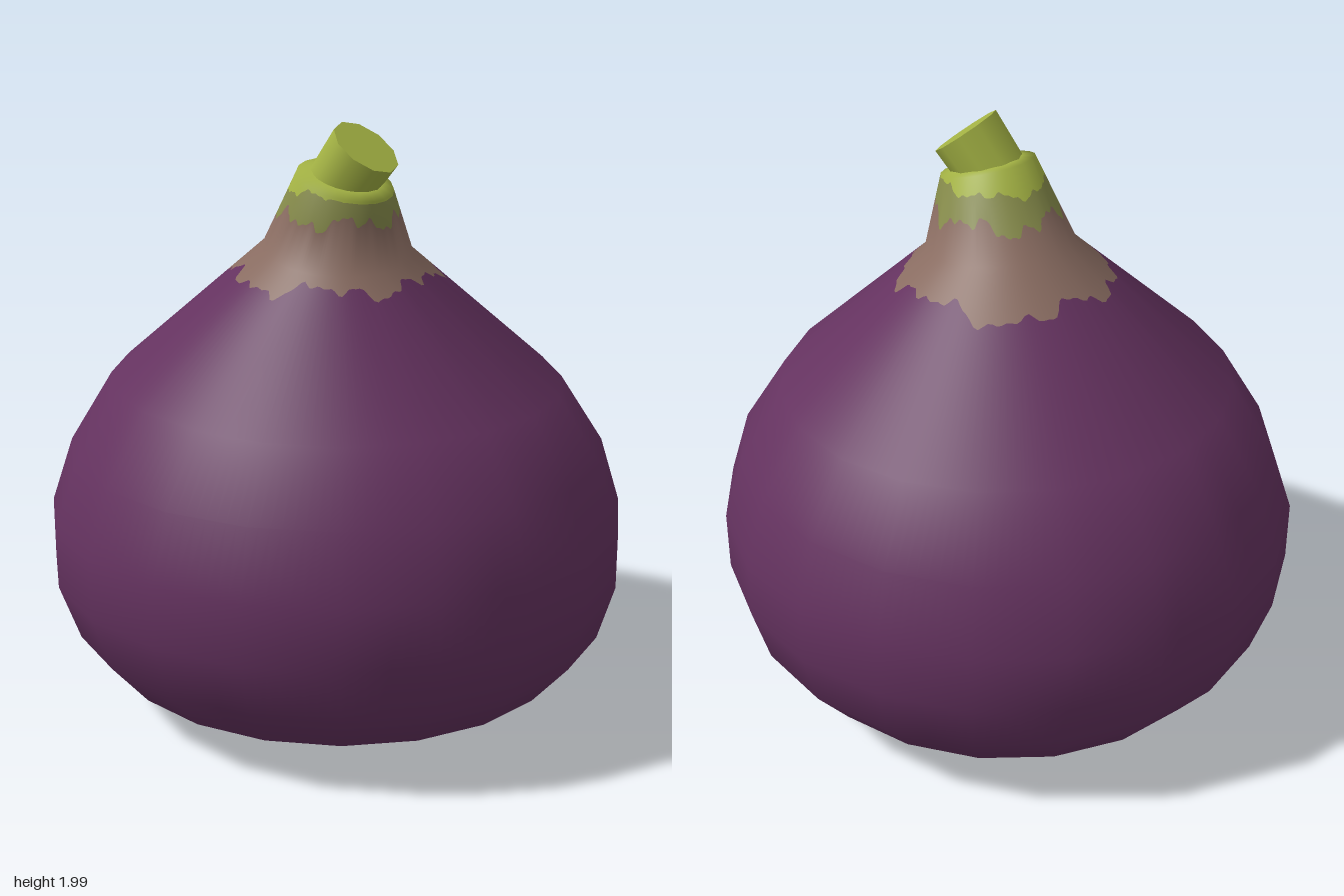
import * as THREE from 'three';

const SEG = 20, SUB = 8, COLS = SEG * SUB;

// Rings from base to crown: centre x, y, z, radius, tilt along x, tilt along z
const RINGS = [
  [0, 0, 0, 0.11, 0, 0],
  [0, 0.008, 0, 0.32, 0, 0],
  [0.01, 0.036, 0, 0.57, 0, 0],
  [0.012, 0.135, 0, 0.77, 0, 0],
  [0.006, 0.285, 0.004, 0.896, 0, 0],
  [-0.002, 0.475, 0.002, 0.957, 0, 0],
  [-0.002, 0.68, 0.002, 0.957, 0, 0],
  [-0.006, 0.9, 0.008, 0.887, 0, 0],
  [-0.012, 1.13, 0.012, 0.745, 0.006, -0.012],
  [-0.075, 1.573, 0.06, 0.245, 0.024, -0.03],
  [-0.13, 1.815, 0.13, 0.152, 0.015, -0.045],
  [-0.124, 1.825, 0.133, 0.11, 0.01, -0.032],
];
const TOP = RINGS.length - 1;

// Point on the skin: u counts ring sides, t counts rings
function skinPoint(u, t) {
  const s = Math.floor(u), f = u - s, k = Math.min(Math.floor(t), TOP - 1), g = t - k;
  const a = (s / SEG) * Math.PI * 2, b = ((s + 1) / SEG) * Math.PI * 2;
  const c = THREE.MathUtils.lerp(Math.cos(a), Math.cos(b), f);
  const n = THREE.MathUtils.lerp(Math.sin(a), Math.sin(b), f);
  const at = ([x, y, z, r, tx, tz]) =>
    new THREE.Vector3(x + r * c, y + tx * c + tz * n, z + r * n * 1.018);
  return at(RINGS[k]).lerp(at(RINGS[k + 1]), g);
}

function skinNormal(u, t) {
  const du = skinPoint(u + 0.5, t).sub(skinPoint(u - 0.5, t));
  const dt = skinPoint(u, Math.min(t + 0.5, TOP)).sub(skinPoint(u, Math.max(t - 0.5, 0)));
  return dt.cross(du).normalize();
}

// Ring parameter where a column of the skin reaches a height
function tAtHeight(u, y) {
  for (let k = 8; k < 10; k++) {
    const a = skinPoint(u, k).y, b = skinPoint(u, k + 1).y;
    if (y < b) return k + Math.max(0, (y - a) / (b - a));
  }
  return 9.97;
}

// Ragged colour border at a mean height
function border(height, amount, phase) {
  return (u) => {
    const a = (u / SEG) * Math.PI * 2;
    const w = 0.45 * Math.sin(5 * a + phase) + 0.35 * Math.sin(11 * a + phase * 2.3)
      + 0.25 * Math.sin(19 * a + phase * 3.1) + 0.15 * Math.sin(37 * a + phase);
    return Math.min(9.97, tAtHeight(u, height + amount * w));
  };
}

// Strip of skin between two borders
function skinBand(lo, hi) {
  const pos = [], nor = [], idx = [], ts = [], rows = TOP + 3;
  for (let j = 0; j <= COLS; j++) {
    const u = j / SUB, a = lo(u % SEG), b = hi(u % SEG);
    for (let i = 0; i < rows; i++) {
      const t = i === 0 ? a : i === rows - 1 ? b : THREE.MathUtils.clamp(i - 1, a, b);
      ts.push(t);
      pos.push(...skinPoint(u, t).toArray());
      nor.push(...skinNormal(u, t).toArray());
    }
  }
  for (let j = 0; j < COLS; j++) {
    for (let i = 0; i < rows - 1; i++) {
      const a = j * rows + i, d = a + 1, b = a + rows, e = b + 1;
      if (ts[a] !== ts[d]) idx.push(a, d, b);
      if (ts[b] !== ts[e]) idx.push(b, d, e);
    }
  }
  const g = new THREE.BufferGeometry();
  g.setAttribute('position', new THREE.Float32BufferAttribute(pos, 3));
  g.setAttribute('normal', new THREE.Float32BufferAttribute(nor, 3));
  g.setIndex(idx);
  return g;
}

export function createModel() {
  const group = new THREE.Group();
  const material = (name, color) => {
    const m = new THREE.MeshStandardMaterial({ color });
    m.name = name;
    return m;
  };
  const purple = material('purple skin', 0x64325f);
  const brown = material('brown blush', 0x896c61);
  const olive = material('olive green', 0x858a4a);
  const lime = material('lime green', 0xa4b344);
  const add = (name, geometry, mat) => {
    const mesh = new THREE.Mesh(geometry, mat);
    mesh.name = name;
    group.add(mesh);
    return mesh;
  };

  // Skin in four colour bands
  const b1 = border(1.495, 0.032, 0.6);
  const b2 = border(1.7, 0.036, 2.1);
  const b3 = border(1.785, 0.018, 4.0);
  add('body', skinBand(() => 0, b1), purple);
  add('neckLower', skinBand(b1, b2), brown);
  add('neckUpper', skinBand(b2, b3), olive);
  add('crown', skinBand(b3, () => TOP), lime);

  // Tilted stem
  const base = new THREE.Vector3(-0.12, 1.785, 0.098);
  const tip = new THREE.Vector3(-0.119, 1.923, 0.203);
  const axis = tip.clone().sub(base);
  const stem = add('stem', new THREE.CylinderGeometry(0.117, 0.11, axis.length(), 10), lime);
  stem.position.copy(base).add(tip).multiplyScalar(0.5);
  stem.quaternion.setFromUnitVectors(new THREE.Vector3(0, 1, 0), axis.normalize());

  // Blossom scar underneath
  add('scarRing', new THREE.RingGeometry(0.065, 0.112, SEG).rotateX(Math.PI / 2), olive);
  add('scarCentre', new THREE.CircleGeometry(0.065, SEG).rotateX(Math.PI / 2), brown);

  return group;
}
